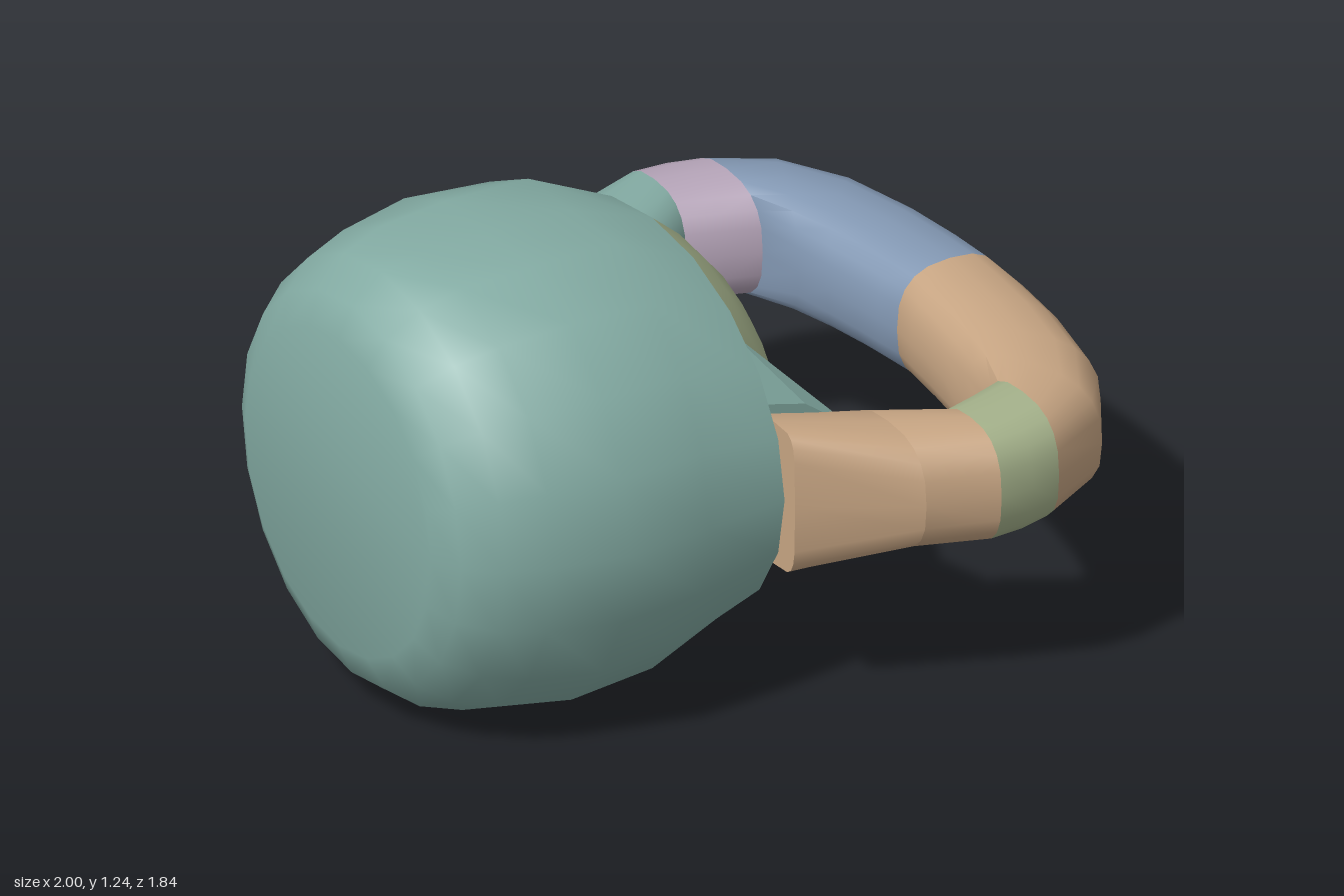
import * as THREE from 'three';
import { toCreasedNormals } from 'three/addons/utils/BufferGeometryUtils.js';
import { ConvexGeometry } from 'three/addons/geometries/ConvexGeometry.js';

const CY = 0.625; // height of the centre line

// Closed solid through loops of [x, y, z] points, with flat end caps
function loft(loops, crease) {
  const n = loops[0].length, pos = loops.flat(2), idx = [];
  for (let i = 0; i < loops.length - 1; i++) {
    for (let j = 0; j < n; j++) {
      const a = i * n + j, b = i * n + (j + 1) % n;
      idx.push(a, b, a + n, b, b + n, a + n);
    }
  }
  const last = (loops.length - 1) * n;
  for (let j = 1; j < n - 1; j++) {
    idx.push(0, j + 1, j, last, last + j, last + j + 1);
  }
  // Turn the faces outward, judged by the enclosed volume
  const p = (i) => new THREE.Vector3().fromArray(pos, i * 3);
  let volume = 0;
  for (let i = 0; i < idx.length; i += 3) {
    volume += p(idx[i]).dot(p(idx[i + 1]).cross(p(idx[i + 2])));
  }
  if (volume < 0) idx.reverse();
  const geo = new THREE.BufferGeometry();
  geo.setAttribute('position', new THREE.Float32BufferAttribute(pos, 3));
  geo.setIndex(idx);
  return toCreasedNormals(geo, crease);
}

// Round loop across x, flattened at the limits in y and z
function ring(x, ry, rz, limY, limZ, sides) {
  const clamp = THREE.MathUtils.clamp;
  return Array.from({ length: sides }, (_, j) => {
    const a = (j / sides) * Math.PI * 2;
    return [x, CY + clamp(ry * Math.sin(a), -limY, limY), clamp(rz * Math.cos(a), -limZ, limZ)];
  });
}

// Handle section between an inner and an outer point; low k is boxy
function section([xi, zi, xo, zo, h = 0.165, k = 0.75], side) {
  const pw = (v) => Math.sign(v) * Math.pow(Math.abs(v), k);
  return Array.from({ length: 20 }, (_, j) => {
    const a = (j / 20) * Math.PI * 2, t = 0.5 + 0.5 * pw(Math.cos(a));
    return [xi + (xo - xi) * t, CY + h * pw(Math.sin(a)), side * (zi + (zo - zi) * t)];
  });
}

export function createModel() {
  const group = new THREE.Group();
  const mat = (name, color) => {
    const m = new THREE.MeshStandardMaterial({ color });
    m.name = name;
    return m;
  };
  const teal = mat('teal', 0x84aca4), olive = mat('olive', 0xa6b38c);
  const tan = mat('tan', 0xc7a583), blue = mat('blue', 0x8398b3), mauve = mat('mauve', 0xb6a5b9);
  const add = (name, geo, material) => {
    const mesh = new THREE.Mesh(geo, material);
    mesh.name = name;
    group.add(mesh);
  };

  // Heavy round body: x, radius in y, radius in z
  const body = [
    [-1, 0.44, 0.45], [-0.96, 0.53, 0.53], [-0.87, 0.6, 0.6], [-0.75, 0.64, 0.645],
    [-0.55, 0.67, 0.69], [-0.3, 0.65, 0.67], [-0.055, 0.53, 0.64],
  ];
  add('body', loft(body.map(([x, ry, rz]) => ring(x, ry, rz, 0.62, 1, 20)), 0.95), teal);

  // Spherical cap between the handle roots, cut flat at both sides
  const cap = [0.53, 0.46, 0.375, 0.28, 0.15, 0.02].map((r) =>
    ring(-0.44 + Math.sqrt(0.655 ** 2 - r * r), r, r, 1, 0.375, 24));
  add('domeCap', loft(cap, 0.6), olive);

  // Handle halves: inner x, inner z, outer x, outer z, half height, boxiness
  const parts = {
    Root: [[-0.055, 0.49, -0.055, 0.69, 0.205, 0.4], [0.235, 0.49, 0.235, 0.86]],
    Shoulder: [[0.235, 0.49, 0.235, 0.86], [0.425, 0.61, 0.425, 0.918]],
    Bend: [[0.425, 0.61, 0.425, 0.918], [0.52, 0.575, 0.52, 0.918], [0.612, 0.54, 0.612, 0.895]],
    Grip: [
      [0.612, 0.54, 0.612, 0.895], [0.63, 0.4, 0.8, 0.8], [0.645, 0.28, 0.92, 0.6],
      [0.66, 0.17, 0.975, 0.35], [0.67, 0.08, 0.995, 0.15], [0.68, 0, 1, 0],
    ],
  };
  const sides = [
    ['front', 1, { Root: tan, Shoulder: tan, Bend: olive, Grip: tan, Gusset: teal }],
    ['back', -1, { Root: blue, Shoulder: teal, Bend: mauve, Grip: blue, Gusset: mauve }],
  ];
  for (const [label, s, colors] of sides) {
    for (const [part, rows] of Object.entries(parts)) {
      add(label + part, loft(rows.map((r) => section(r, s)), 0.7), colors[part]);
    }
    // Web joining the cap to the handle root: x, half height, z
    const web = [
      [-0.055, 0.37, 0.375], [0.035, 0.25, 0.375], [0.11, 0.1, 0.375],
      [-0.055, 0.21, 0.49], [0.1, 0.17, 0.49], [0.235, 0.07, 0.49],
    ];
    const points = web.flatMap(([x, h, z]) =>
      [h, -h].map((y) => new THREE.Vector3(x, CY + y, s * z)));
    add(label + 'Gusset', new ConvexGeometry(points), colors.Gusset);
  }
  return group;
}
